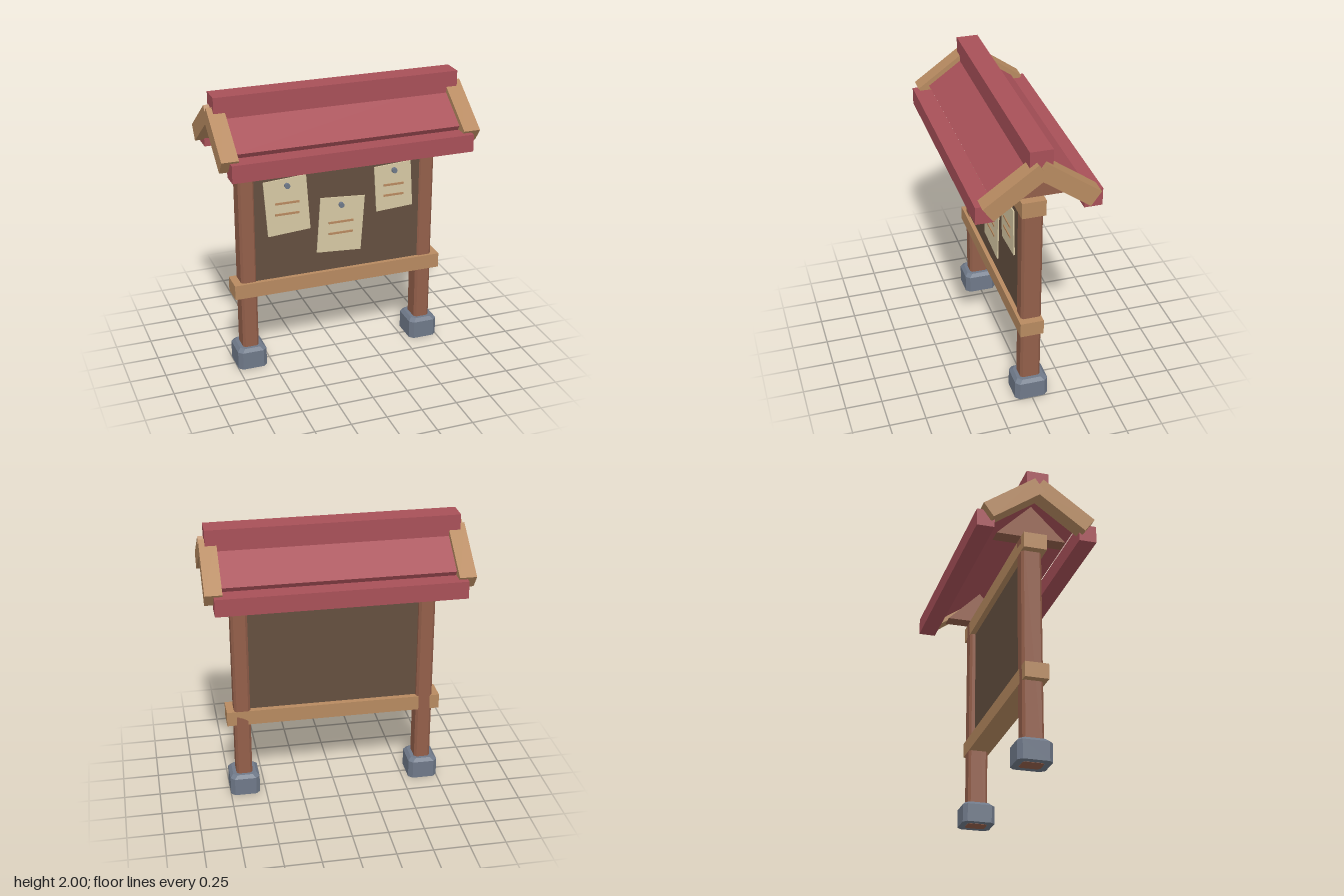
import * as THREE from 'three';

const material = (name, color) => {
  const m = new THREE.MeshStandardMaterial({ color, flatShading: true });
  m.name = name;
  return m;
};

// Eight-sided block with cut corners; levels are [y, inset] pairs from bottom to top
function chamferedBlock(w, d, c, levels) {
  const ring = ([y, inset]) => {
    const a = w / 2 - inset, b = d / 2 - inset;
    return [[a, b - c], [a - c, b], [c - a, b], [-a, b - c],
      [-a, c - b], [c - a, -b], [a - c, -b], [a, c - b]].map(([x, z]) => [x, y, z]);
  };
  const rings = levels.map(ring);
  const pos = [];
  const tri = (...pts) => pts.forEach((p) => pos.push(...p));
  for (let k = 0; k < rings.length - 1; k++) {
    for (let i = 0; i < 8; i++) {
      const j = (i + 1) % 8, lo = rings[k], hi = rings[k + 1];
      tri(lo[i], hi[i], hi[j]);
      tri(lo[i], hi[j], lo[j]);
    }
  }
  const bottom = rings[0], top = rings[rings.length - 1];
  for (let i = 1; i < 7; i++) {
    tri(bottom[0], bottom[i], bottom[i + 1]);
    tri(top[0], top[i + 1], top[i]);
  }
  const g = new THREE.BufferGeometry();
  g.setAttribute('position', new THREE.Float32BufferAttribute(pos, 3));
  g.computeVertexNormals();
  return g;
}

export function createModel() {
  const red = material('roofRed', 0xa85058);
  const tan = material('lightWood', 0xb78a60);
  const brown = material('postWood', 0x935f4a);
  const dark = material('boardBrown', 0x644f3f);
  const cream = material('paper', 0xd6c8a3);
  const stone = material('stone', 0x6f7989);

  const model = new THREE.Group();
  model.name = 'noticeBoard';
  const add = (name, geometry, mat, x = 0, y = 0, z = 0) => {
    const mesh = new THREE.Mesh(geometry, mat);
    mesh.name = name;
    mesh.position.set(x, y, z);
    model.add(mesh);
    return mesh;
  };
  const box = (name, mat, size, at) => add(name, new THREE.BoxGeometry(...size), mat, ...at);

  // Posts, stone footings and gable ends
  const post = chamferedBlock(0.113, 0.14, 0.016, [[0, 0], [1.586, 0]]);
  const footing = chamferedBlock(0.207, 0.23, 0.028, [[0.002, 0], [0.13, 0], [0.152, 0.022]]);
  const gableShape = new THREE.Shape([
    new THREE.Vector2(-0.238, 1.586), new THREE.Vector2(0.238, 1.586), new THREE.Vector2(0, 1.825)]);
  const gable = new THREE.ExtrudeGeometry(gableShape, { depth: 0.1, bevelEnabled: false });
  gable.translate(0, 0, -0.05).rotateY(Math.PI / 2);
  for (const side of [-1, 1]) {
    const name = side > 0 ? 'left' : 'right';
    add(name + 'Post', post, brown, side * 0.647);
    add(name + 'Footing', footing, stone, side * 0.647);
    add(name + 'Gable', gable, brown, side * 0.647);
  }

  // Board and its two rails
  box('board', dark, [1.2, 0.9, 0.09], [0, 1.06, 0.015]);
  box('upperRail', tan, [1.51, 0.111, 0.16], [0, 1.531, 0.01]);
  box('lowerRail', tan, [1.51, 0.105, 0.16], [0, 0.598, 0.01]);

  // Roof: sloping panels, barge boards, eaves and ridge
  const pitch = 0.62;
  for (const face of [-1, 1]) {
    const name = face > 0 ? 'front' : 'back';
    box(name + 'RoofPanel', red, [1.6, 0.05, 0.355], [0, 1.773, face * 0.144]).rotation.x = face * pitch;
    box(name + 'Eave', red, [1.66, 0.12, 0.12], [0, 1.6, face * 0.35]);
    for (const side of [-1, 1]) {
      const barge = box(name + (side > 0 ? 'Left' : 'Right') + 'BargeBoard', tan,
        [0.115, 0.115, 0.43], [side * 0.831, 1.754, face * 0.171]);
      barge.rotation.x = face * pitch;
    }
  }
  box('ridgeCap', red, [1.7, 0.147, 0.15], [0, 1.9265, 0]);

  // Pinned notices: x, y, width, height, tilt in degrees, pin y, writing width, writing heights
  const pinHead = new THREE.CylinderGeometry(0.019, 0.019, 0.026, 10).rotateX(Math.PI / 2);
  const notices = [
    [-0.371, 1.185, 0.302, 0.4, 4, 1.336, 0.17, [1.21, 1.13]],
    [0.014, 0.992, 0.322, 0.404, -4, 1.141, 0.178, [1.013, 0.931]],
    [0.4, 1.22, 0.268, 0.332, 3.5, 1.342, 0.148, [1.236, 1.159]],
  ];
  for (const [x, y, w, h, tilt, pinY, lineW, lines] of notices) {
    const paper = box('notice', cream, [w, h, 0.009], [x, y, 0.073]);
    paper.rotation.z = THREE.MathUtils.degToRad(tilt);
    for (const lineY of lines) box('noticeLine', tan, [lineW, 0.015, 0.006], [x, lineY, 0.08]);
    add('pin', pinHead, stone, x, pinY, 0.087);
  }
  return model;
}
